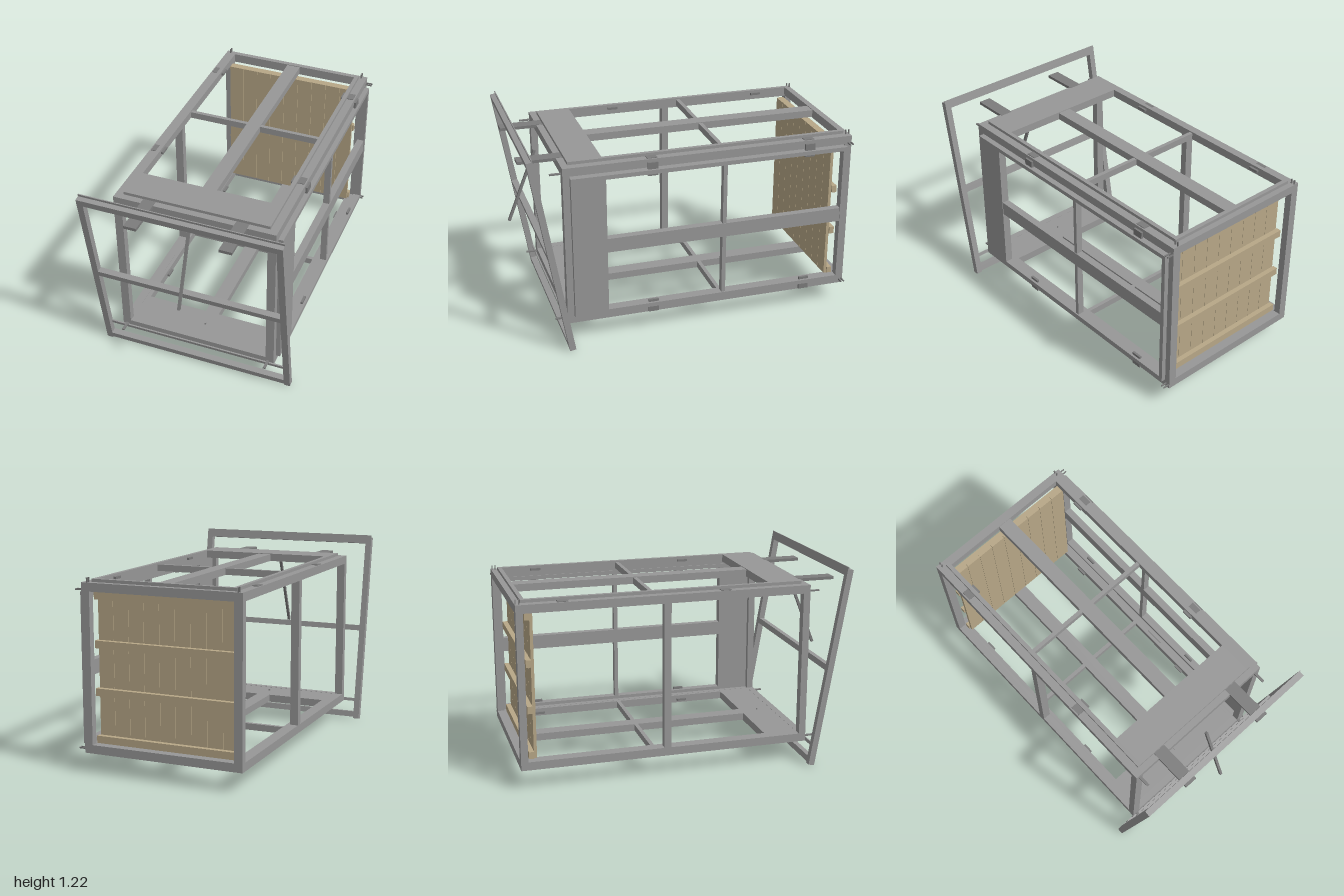
import * as THREE from 'three';

const paint = (color) => new THREE.MeshStandardMaterial({ color, flatShading: true });
const steel = paint(0x979797);
const darkSteel = paint(0x7c7c7c);
const wood = paint(0xb7a787);

// Box given by its limits on each axis
function box(parent, name, [x0, x1], [y0, y1], [z0, z1], mat = steel) {
  const m = new THREE.Mesh(new THREE.BoxGeometry(x1 - x0, y1 - y0, z1 - z0), mat);
  m.position.set((x0 + x1) / 2, (y0 + y1) / 2, (z0 + z1) / 2);
  m.name = name;
  parent.add(m);
  return m;
}

function group(parent, name) {
  const g = new THREE.Group();
  g.name = name;
  parent.add(g);
  return g;
}

// Infill panel lying flat: outward is +y, y = 0 is the outer face of the cage
function panel(parent, name) {
  const g = group(parent, name);
  const depth = [-0.03, 0.018];
  for (const s of [-1, 1]) {
    const a = s * 0.44, b = s * 0.415;
    box(g, 'panelSideRail', [Math.min(a, b), Math.max(a, b)], depth, [-0.965, 0.718]);
    for (const z of [0.235, -0.73])
      box(g, 'clip', [s * 0.44 - 0.04, s * 0.44 + 0.04], [-0.01, 0.004], [z - 0.031, z + 0.031], darkSteel);
  }
  box(g, 'panelBackRail', [-0.415, 0.415], depth, [-0.965, -0.94]);
  box(g, 'frontPlate', [-0.415, 0.415], depth, [0.515, 0.718]);
  box(g, 'centreBar', [-0.043, 0.043], [-0.03, 0.014], [-0.94, 0.515]);
  for (const x of [[-0.415, -0.043], [0.043, 0.415]])
    box(g, 'crossBar', x, [-0.03, 0.01], [-0.212, -0.188]);
  return g;
}

export function createModel() {
  const model = new THREE.Group();
  model.name = 'cage';

  // Main box frame
  const W = 0.488, T = 0.05, Y0 = 0.12, Y1 = 1.103, Z0 = -1, Z1 = 0.758;
  const frame = group(model, 'mainFrame');
  const xs = [[-W, -W + T], [W - T, W]];
  const ys = [[Y0, Y0 + T], [Y1 - T, Y1]];
  const zs = [[Z0, Z0 + T - 0.008], [Z1 - T + 0.008, Z1]];
  for (const x of xs) for (const y of ys) box(frame, 'longRail', x, y, [Z0, Z1]);
  for (const x of xs) for (const z of zs) box(frame, 'cornerPost', x, [Y0 + T, Y1 - T], z);
  for (const y of ys) for (const z of zs) box(frame, 'endRail', [-W + T, W - T], y, z);
  box(frame, 'sidePost', xs[0], [Y0 + T, Y1 - T], [-0.142, -0.1]);

  // Panels on the top, the bottom and one side
  panel(model, 'topPanel').position.y = Y1;
  const bottom = panel(model, 'bottomPanel');
  bottom.rotation.z = Math.PI;
  bottom.position.y = Y0 + 0.019;
  const side = panel(model, 'sidePanel');
  side.rotation.z = -Math.PI / 2;
  side.position.set(0.497, 0.605, 0);
  box(model, 'floorStud', [-0.004, 0.004], [0.16, 0.18], [0.62, 0.628]);

  // Locating pins at the corners
  const pins = group(model, 'pins');
  for (const x of [-0.46, 0.453]) {
    for (const y of [0.145, 1.062])
      box(pins, 'frontPin', [x - 0.008, x + 0.008], [y - 0.004, y + 0.004], [0.75, 0.825], darkSteel);
    for (const z of [-0.995, -0.975])
      box(pins, 'topPin', [x - 0.004, x + 0.004], [1.09, 1.13], [z - 0.003, z + 0.003], darkSteel);
  }
  for (const y of [0.145, 1.062])
    for (const z of [-0.995, -0.975])
      box(pins, 'sidePin', [0.48, 0.527], [y - 0.004, y + 0.004], [z - 0.003, z + 0.003], darkSteel);

  // Wooden back wall: vertical planks on four battens
  const wall = group(model, 'backWall');
  const pitch = 0.864 / 9;
  for (let i = 0; i < 9; i++) {
    const x = -0.432 + i * pitch;
    box(wall, 'plank', [x + 0.001, x + pitch - 0.001], [0.17, 1.046], [-0.915, -0.897], wood);
  }
  for (const y of [0.19, 0.468, 0.745, 1.023])
    box(wall, 'batten', [-0.44, 0.44], [y - 0.022, y + 0.022], [-0.945, -0.915], wood);

  // Leaning front frame
  const gate = group(model, 'leaningFrame');
  gate.position.set(0, 0.003, 0.757);
  gate.rotation.x = 0.167;
  const d = [-0.019, 0.018];
  for (const s of [-1, 1])
    box(gate, 'gatePost', [s * 0.581 - 0.019, s * 0.581 + 0.019], [0, 1.18], d);
  box(gate, 'gateTopBar', [-0.6, 0.6], [1.18, 1.22], d);
  box(gate, 'gateTopLip', [-0.6, 0.6], [1.22, 1.234], [-0.019, -0.013]);
  box(gate, 'gateMiddleBar', [-0.562, 0.562], [0.594, 0.629], d);
  box(gate, 'gateBottomBar', [-0.562, 0.562], [0.01, 0.046], d);
  box(gate, 'gateThinBar', [-0.562, 0.562], [0.117, 0.136], [-0.019, -0.01]);

  // Flat arms reaching out to the leaning frame
  for (const x of [-0.28, 0.28])
    box(model, 'supportArm', [x - 0.038, x + 0.038], [1.087, 1.105], [0.719, 0.98], darkSteel);

  // Slanted prop crossing the leaning frame
  const prop = box(model, 'prop', [-0.008, 0.008], [-0.235, 0.235], [-0.008, 0.008], darkSteel);
  prop.position.set(0, 0.822, 0.907);
  prop.rotation.x = -Math.atan2(0.175, 0.44);

  return model;
}
